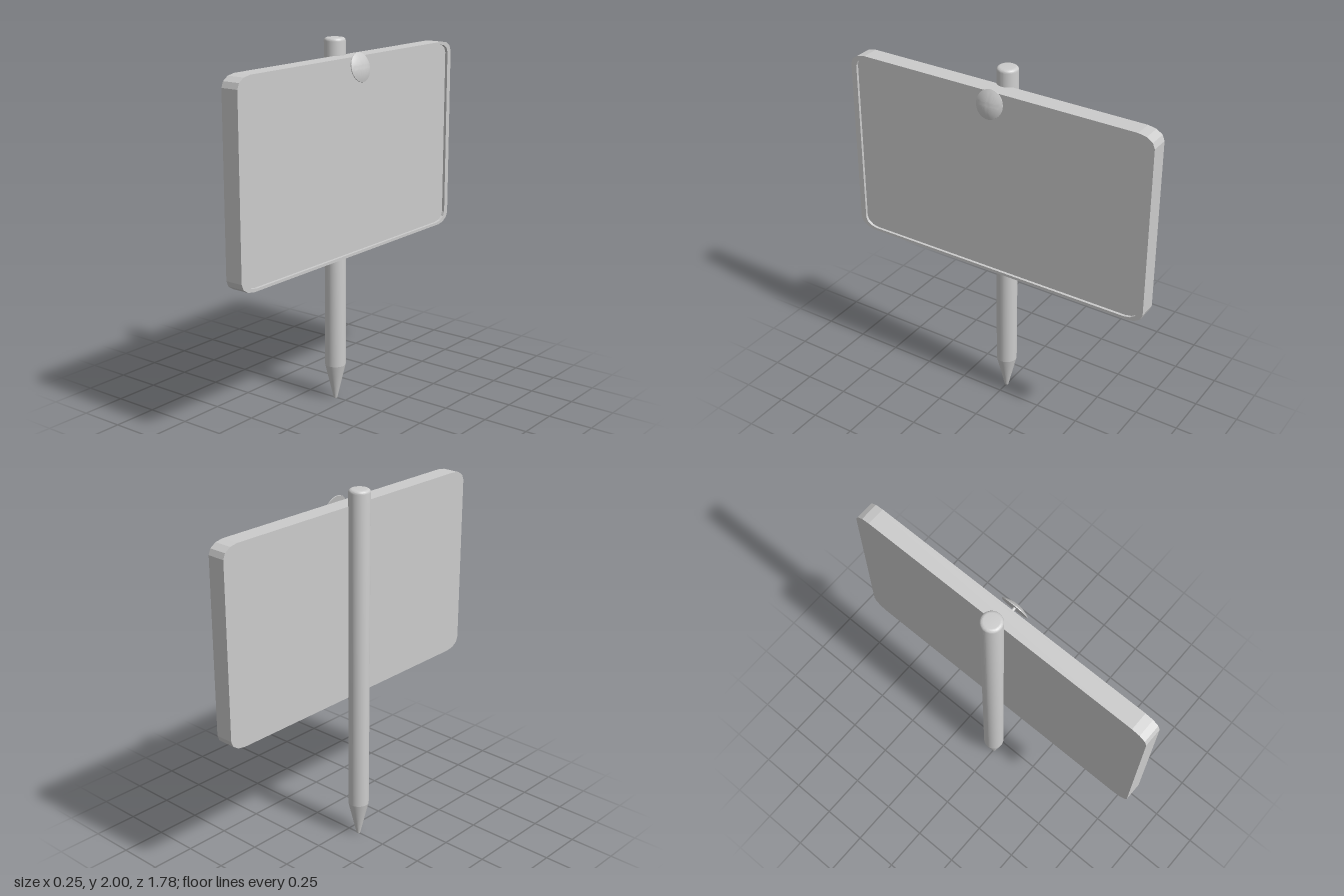
import * as THREE from 'three';
import { toCreasedNormals } from 'three/addons/utils/BufferGeometryUtils.js';

const material = new THREE.MeshStandardMaterial({ color: 0xcccccc });

function addMesh(parent, name, geometry) {
  const mesh = new THREE.Mesh(geometry, material);
  mesh.name = name;
  parent.add(mesh);
  return mesh;
}

// Outline of a rectangle with faceted elliptical corners (counter-clockwise)
function roundedOutline(halfW, halfH, rx, ry, steps = 3) {
  const points = [];
  const signs = [[1, 1], [-1, 1], [-1, -1], [1, -1]];
  signs.forEach(([sx, sy], corner) => {
    for (let i = 0; i <= steps; i++) {
      const a = (corner + i / steps) * Math.PI / 2;
      points.push(new THREE.Vector2(
        sx * (halfW - rx) + rx * Math.cos(a),
        sy * (halfH - ry) + ry * Math.sin(a)));
    }
  });
  return points;
}

// Extrudes an outline along x, from x0 to x1
function slab(shape, x0, x1) {
  const geometry = new THREE.ExtrudeGeometry(shape, { depth: x1 - x0, bevelEnabled: false });
  return geometry.rotateY(Math.PI / 2).translate(x0, 0, 0);
}

function lathe(profile, segments, crease) {
  const points = profile.map(([r, y]) => new THREE.Vector2(r, y));
  return toCreasedNormals(new THREE.LatheGeometry(points, segments), crease);
}

export function createModel() {
  const model = new THREE.Group();
  model.name = 'signpost';

  // Post: pointed foot, straight shaft, softly rounded top
  const radius = 0.057, round = 0.018;
  const profile = [[0, 0], [0.01, 0], [radius, 0.2]];
  for (let i = 0; i <= 8; i++) {
    const a = (i / 8) * Math.PI / 2;
    profile.push([radius - round + round * Math.cos(a), 2 - round + round * Math.sin(a)]);
  }
  profile.push([0, 2]);
  addMesh(model, 'post', lathe(profile, 48, 0.21)).position.x = -0.07;

  // Board: solid backing with a raised rim around the recessed panel
  const board = new THREE.Group();
  board.name = 'board';
  board.position.y = 1.38;
  model.add(board);

  const outer = roundedOutline(0.892, 0.53, 0.09, 0.06);
  addMesh(board, 'boardPanel', slab(new THREE.Shape(outer), -0.037, 0.048));

  const rim = new THREE.Shape(outer);
  rim.holes.push(new THREE.Path(roundedOutline(0.86, 0.515, 0.075, 0.05).reverse()));
  addMesh(board, 'boardRim', slab(rim, 0.048, 0.063));

  // Tack: domed head on a thin pin, tilted slightly upward
  const tack = new THREE.Group();
  tack.name = 'tack';
  tack.position.set(0.097, 1.858, 0);
  tack.rotation.z = -THREE.MathUtils.degToRad(77);
  model.add(tack);

  const head = [[0, 0], [0.077, -0.002]];
  for (let i = 0; i <= 8; i++) {
    const r = 0.077 * (1 - i / 8);
    head.push([r, 0.002 + 0.019 * (1 - (r / 0.077) ** 2)]);
  }
  addMesh(tack, 'tackHead', lathe(head, 40, 0.6));

  const pin = new THREE.CylinderGeometry(0.008, 0.008, 0.07, 16).translate(0, -0.033, 0);
  addMesh(tack, 'tackPin', pin);

  return model;
}
